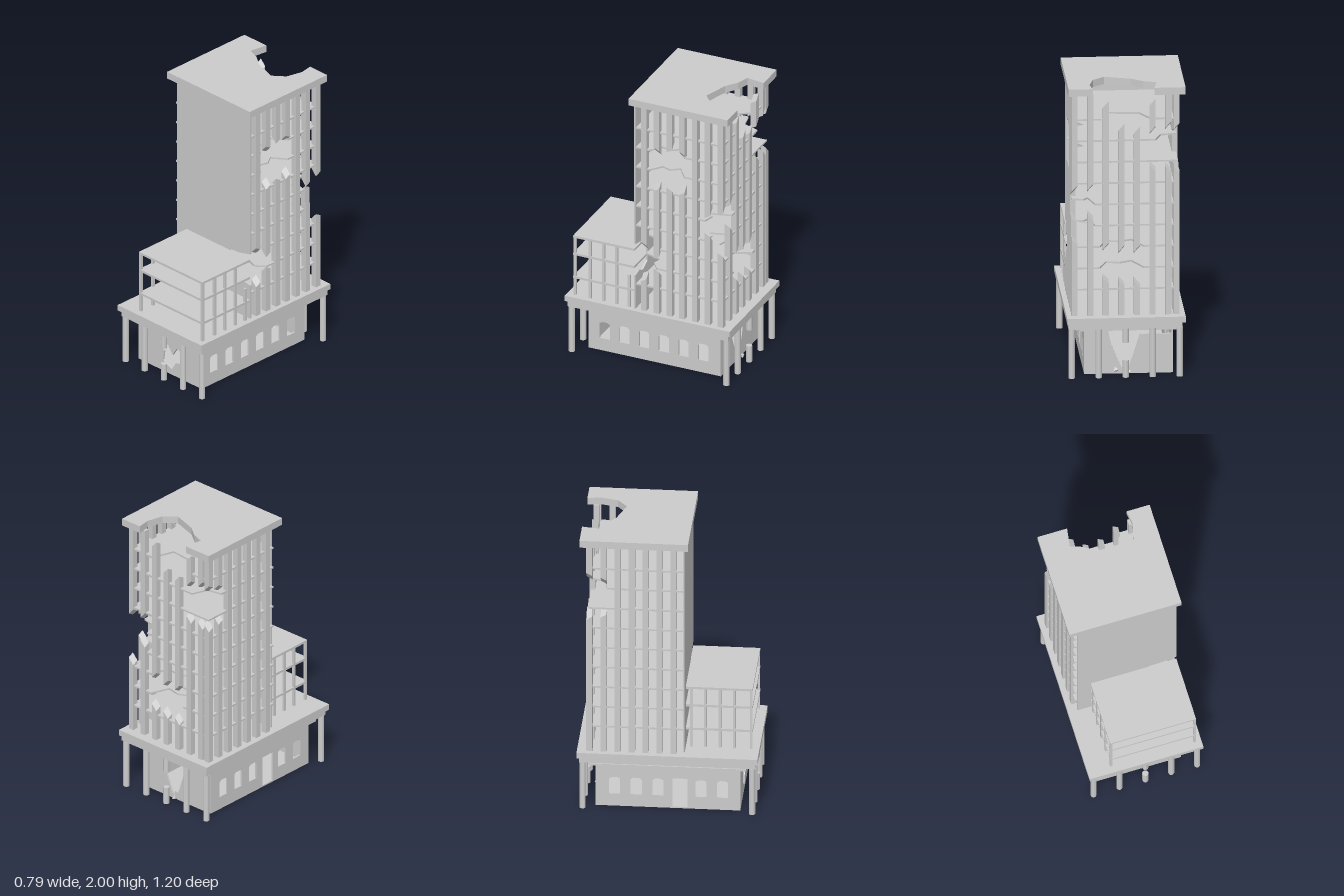
import * as THREE from 'three';

const mat = new THREE.MeshStandardMaterial({ color: 0xcccccc, flatShading: true, side: THREE.DoubleSide });

export function createModel() {
  const root = new THREE.Group();
  const group = (name) => {
    const g = new THREE.Group();
    g.name = name;
    root.add(g);
    return g;
  };
  const add = (parent, name, geo) => {
    const m = new THREE.Mesh(geo, mat);
    m.name = name;
    parent.add(m);
    return m;
  };
  // box given by its two corners
  const box = (parent, name, x0, x1, y0, y1, z0, z1) => {
    const g = new THREE.BoxGeometry(x1 - x0, y1 - y0, z1 - z0);
    g.translate((x0 + x1) / 2, (y0 + y1) / 2, (z0 + z1) / 2);
    return add(parent, name, g);
  };
  const outline = (pts) => pts.map(([a, b]) => new THREE.Vector2(a, b));
  const extrude = (pts, depth, holes = []) => {
    const s = new THREE.Shape(outline(pts));
    holes.forEach((h) => s.holes.push(new THREE.Path(outline(h))));
    return new THREE.ExtrudeGeometry(s, { depth, bevelEnabled: false });
  };
  // horizontal plate from [x, z] corners
  const plate = (parent, name, pts, y0, y1) =>
    add(parent, name, extrude(pts.map(([x, z]) => [x, -z]), y1 - y0).rotateX(-Math.PI / 2).translate(0, y0, 0));
  // wall facing z, from [x, y] corners
  const wallZ = (parent, name, pts, z, t, holes) =>
    add(parent, name, extrude(pts, t, holes).translate(0, 0, z));
  // wall facing x, from [z, y] corners
  const wallX = (parent, name, pts, x, t, holes) =>
    add(parent, name, extrude(pts.map(([z, y]) => [-z, y]), t, holes.map((h) => h.map(([z, y]) => [-z, y])))
      .rotateY(Math.PI / 2).translate(x, 0, 0));

  // ---- Ground-floor hall ----
  const hall = group('groundHall');
  box(hall, 'hallFloor', -0.32, 0.27, 0, 0.01, -0.48, 0.48);
  box(hall, 'hallCeiling', -0.35, 0.3, 0.308, 0.322, -0.52, 0.52);
  const windowAt = (z) => [[z - 0.037, 0.09], [z + 0.037, 0.09], [z + 0.037, 0.2], [z + 0.02, 0.213], [z - 0.02, 0.213], [z - 0.037, 0.2]];
  const windowZ = [0.363, 0.22, 0.077, -0.066, -0.21, -0.353];
  const side = [[-0.48, 0], [0.48, 0], [0.48, 0.34], [-0.48, 0.34]];
  wallX(hall, 'rightHallWall', side, 0.258, 0.012, windowZ.map(windowAt));
  const doorSide = [[-0.48, 0], [0.03, 0], [0.03, 0.22], [0.13, 0.22], [0.13, 0], [0.48, 0], [0.48, 0.34], [-0.48, 0.34]];
  wallX(hall, 'leftHallWall', doorSide, -0.32, 0.012, windowZ.filter((z) => z !== 0.077).map(windowAt));
  wallZ(hall, 'frontHallWall', [[-0.32, 0], [0.27, 0], [0.27, 0.27], [-0.32, 0.27]], 0.468, 0.012,
    [[[-0.12, 0.21], [-0.08, 0.19], [-0.05, 0.22], [0, 0.15], [0.04, 0.215], [0.09, 0.19], [0.07, 0.11], [0.03, 0.1], [-0.01, 0.04], [-0.09, 0.08], [-0.08, 0.15]]]);
  wallZ(hall, 'brokenBackHallWall', [[-0.32, 0], [0.27, 0], [0.27, 0.27], [0.24, 0.34], [0.12, 0.34], [0.09, 0.2], [0.02, 0.03],
    [-0.03, 0.05], [-0.07, 0.17], [-0.1, 0.27], [-0.32, 0.27]], -0.48, 0.012);

  // ---- Podium deck on round columns ----
  const podium = group('podium');
  box(podium, 'deckLower', -0.375, 0.38, 0.34, 0.38, -0.585, 0.585);
  box(podium, 'deckUpper', -0.395, 0.39, 0.38, 0.42, -0.6, 0.6);
  for (const z of [0.562, -0.562]) {
    for (let i = -2; i <= 2; i++) {
      const pieces = i === 0 ? [[0, 0.12], [0.24, 0.34]] : [[0, 0.34]];
      for (const [a, b] of pieces) {
        add(podium, 'column', new THREE.CylinderGeometry(0.021, 0.021, b - a, 12).translate(i * 0.179, (a + b) / 2, z));
      }
    }
  }

  // ---- Tower floors, with bites out of the damaged edges ----
  const tower = group('tower');
  const backBite = [[0.17, -0.53], [0.12, -0.4], [0.03, -0.42], [-0.05, -0.38], [-0.12, -0.53]];
  const frontBite = [[0.18, 0.105], [0.22, -0.02], [0.28, 0], [0.345, -0.05]];
  const backRightBite = [[0.345, -0.4], [0.27, -0.42], [0.24, -0.38], [0.2, -0.53]];
  const rightBite = [[0.345, 0], [0.27, -0.06], [0.29, -0.12], [0.25, -0.18], [0.345, -0.25]];
  const backLeftBite = [[-0.2, -0.53], [-0.24, -0.42], [-0.345, -0.4]];
  const topBite = [[0.15, -0.53], [0.1, -0.38], [-0.1, -0.4], [-0.17, -0.53]];
  // bites per floor: front-right corner, right edge, back-right corner, back edge, back-left corner
  const bites = {
    1: { fr: frontBite, b: backBite }, 2: { fr: frontBite, b: backBite },
    3: { br: backRightBite }, 4: { br: backRightBite },
    6: { r: rightBite }, 7: { r: rightBite, bl: backLeftBite }, 8: { b: topBite },
  };
  for (let i = 0; i < 9; i++) {
    const c = bites[i] || {};
    const y = 0.6 + i * 0.1465;
    plate(tower, 'floorSlab', [
      [-0.348, 0.105], ...(c.fr || [[0.345, 0.105]]), ...(c.r || []), ...(c.br || [[0.345, -0.53]]),
      ...(c.b || []), ...(c.bl || [[-0.348, -0.53]]),
    ], y - 0.006, y + 0.006);
  }

  // ---- Solid front wall with a torn lower corner ----
  wallZ(tower, 'frontWall', [[-0.33, 0.42], [0.355, 0.42], [0.355, 0.67], [0.3, 0.68], [0.24, 0.655], [0.165, 0.69],
    [0.165, 0.875], [0.25, 0.88], [0.355, 0.905], [0.355, 1.95], [-0.33, 1.95]], 0.1, 0.012);

  // ---- Vertical fins: each is split into pieces, broken ends are slanted ----
  const BOT = 0.42, TOP = 1.95, W = 0.04;
  let count = 0;
  const fin = (x, z, pieces = [[BOT, TOP]]) => {
    for (const [a, b] of pieces) {
      const g = new THREE.BoxGeometry(W, b - a, W).translate(x, (a + b) / 2, z);
      const p = g.attributes.position;
      const tilt = count++ % 2 ? 0.022 : -0.022;
      for (let i = 0; i < p.count; i++) {
        const y = p.getY(i);
        const s = Math.sign(p.getX(i) - x) + 0.5 * Math.sign(p.getZ(i) - z);
        if (Math.abs(y - BOT) > 0.001 && Math.abs(y - TOP) > 0.001) p.setY(i, y + tilt * s);
      }
      g.computeVertexNormals();
      add(tower, 'fin', g);
    }
  };
  const gap = (...g) => {
    const pieces = [];
    let from = BOT;
    for (const [a, b] of g) {
      pieces.push([from, a]);
      from = b;
    }
    if (from < TOP) pieces.push([from, TOP]);
    return pieces;
  };
  const sideZ = [0.04, -0.053, -0.146, -0.236, -0.33, -0.423, -0.518];
  const rightGaps = [
    gap([0.67, 0.9]), gap([0.72, 0.86], [1.37, 1.63]), gap([1.35, 1.68]), gap([1.38, 1.64]),
    gap(), gap([1.07, 1.25]), gap([0.94, 1.29]),
  ];
  const leftGaps = { 5: gap([1.45, 1.68]), 6: gap([1.43, 1.71]) };
  sideZ.forEach((z, i) => {
    fin(0.338, z, rightGaps[i]);
    fin(-0.338, z, leftGaps[i]);
  });
  fin(0.233, -0.52, gap([1.11, 1.3]));
  fin(0.13, -0.52, gap([0.67, 0.89], [1.87, TOP]));
  fin(0.027, -0.52, gap([0.65, 0.87], [1.71, TOP]));
  fin(-0.077, -0.52, gap([0.64, 0.87], [1.69, TOP]));
  fin(-0.18, -0.52, gap([1.44, 1.69], [1.88, TOP]));
  fin(-0.283, -0.52, gap([1.43, 1.72]));

  // ---- Roof with a bite out of the back edge ----
  plate(tower, 'roof', [[-0.395, 0.14], [0.38, 0.14], [0.38, -0.58], [0.22, -0.58], [0.235, -0.49], [0.205, -0.375],
    [0.125, -0.31], [-0.045, -0.365], [-0.125, -0.425], [-0.21, -0.455], [-0.19, -0.58], [-0.395, -0.58]], 1.95, 2);

  // ---- Open-sided front annex ----
  const annex = group('annex');
  for (const y of [0.553, 0.727, 0.857]) box(annex, 'annexSlab', -0.24, 0.353, y - 0.008, y + 0.008, 0.11, 0.555);
  for (const x of [-0.232, 0.345]) {
    [0.545, 0.433, 0.337, 0.241, 0.15].forEach((z, i) => {
      const top = x > 0 && i === 4 ? 0.66 : 0.85;
      box(annex, 'annexPost', x - 0.008, x + 0.008, 0.42, top, z - 0.009, z + 0.009);
    });
  }

  // ---- Rubble by the broken back wall ----
  const rubble = group('rubble');
  [[0.06, 0.03, -0.495], [-0.02, 0.02, -0.5], [0.02, 0.015, -0.44]].forEach(([x, y, z], i) => {
    const m = add(rubble, 'chunk', new THREE.TetrahedronGeometry(0.022));
    m.position.set(x, y, z);
    m.rotation.set(i, i * 2, 0.4);
  });
  return root;
}
